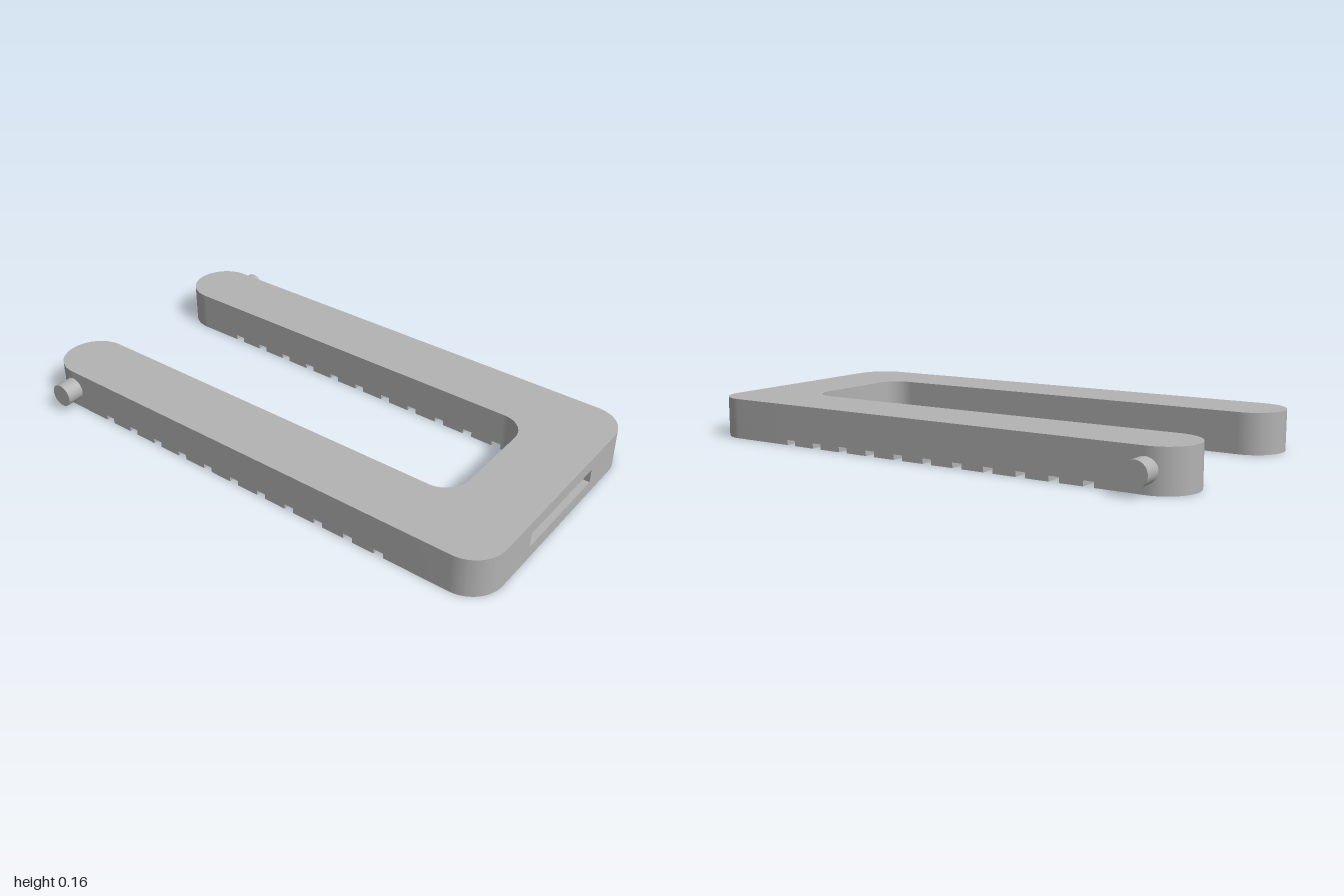
import * as THREE from 'three';
import { toCreasedNormals } from 'three/addons/utils/BufferGeometryUtils.js';

const HEIGHT = 0.155;
const OUTER = 0.51, INNER = 0.255; // leg sides
const R = (OUTER - INNER) / 2, MID = (OUTER + INNER) / 2; // rounded ends and corners
const JOIN = 0.62; // z where the legs meet the front bar
const SLOT_DEPTH = 0.04;

const extrude = (shape, depth) => toCreasedNormals(
  new THREE.ExtrudeGeometry(shape, { depth, bevelEnabled: false, curveSegments: 20 }), 0.5);

// Plan shapes use y = -z and are raised to the full height
const raise = (shape) => extrude(shape, HEIGHT).rotateX(-Math.PI / 2);

export function createModel() {
  const model = new THREE.Group();
  model.name = 'grooved fork';
  const grey = new THREE.MeshStandardMaterial({ color: 0xb3b3b3 });
  grey.name = 'grey';
  const add = (name, geometry, x = 0, y = 0, z = 0) => {
    const mesh = new THREE.Mesh(geometry, grey);
    mesh.name = name;
    mesh.position.set(x, y, z);
    model.add(mesh);
    return mesh;
  };

  // Front bar with rounded outer corners and filleted inner corners
  const bar = new THREE.Shape();
  bar.moveTo(-OUTER, -JOIN);
  bar.lineTo(-OUTER, -1 + R);
  bar.absarc(-MID, -1 + R, R, Math.PI, Math.PI * 1.5, false);
  bar.lineTo(-MID, -1 + SLOT_DEPTH);
  bar.lineTo(MID, -1 + SLOT_DEPTH);
  bar.lineTo(MID, -1);
  bar.absarc(MID, -1 + R, R, -Math.PI / 2, 0, false);
  bar.lineTo(OUTER, -JOIN);
  bar.lineTo(INNER, -JOIN);
  bar.absarc(INNER - 0.1, -JOIN, 0.1, 0, -Math.PI / 2, true);
  bar.absarc(-INNER + 0.1, -JOIN, 0.1, -Math.PI / 2, -Math.PI, true);
  add('frontBar', raise(bar));

  // Front plate with the slot cut through to the bar behind it
  const plate = new THREE.Shape([[-MID, 0], [MID, 0], [MID, HEIGHT], [-MID, HEIGHT]]
    .map(([x, y]) => new THREE.Vector2(x, y)));
  plate.holes.push(new THREE.Path([[-0.215, 0.05], [-0.215, 0.105], [0.215, 0.105], [0.215, 0.05]]
    .map(([x, y]) => new THREE.Vector2(x, y))));
  add('slottedFrontPlate', extrude(plate, SLOT_DEPTH), 0, 0, 1 - SLOT_DEPTH);

  // Leg side profile (x = -z) with eleven grooves underneath
  const profile = new THREE.Shape();
  profile.moveTo(-JOIN, 0);
  for (let i = 0; i < 11; i++) {
    const c = -0.598 + i * 0.1275;
    profile.lineTo(c - 0.019, 0);
    profile.lineTo(c - 0.019, 0.02);
    profile.lineTo(c + 0.019, 0.02);
    profile.lineTo(c + 0.019, 0);
  }
  profile.lineTo(1 - R, 0);
  profile.lineTo(1 - R, HEIGHT);
  profile.lineTo(-JOIN, HEIGHT);
  const leg = extrude(profile, R * 2).rotateY(Math.PI / 2).translate(-R, 0, 0);

  // Half-round leg end
  const round = new THREE.Shape();
  round.absarc(0, 1 - R, R, 0, Math.PI, false);
  const end = raise(round);

  // Side pin, sunk into the leg
  const pin = new THREE.CylinderGeometry(0.045, 0.045, 0.128, 32).rotateZ(Math.PI / 2);

  for (const [side, s] of [['left', 1], ['right', -1]]) {
    add(side + 'Leg', leg, s * MID);
    add(side + 'LegEnd', end, s * MID);
    add(side + 'Pin', pin, s * 0.514, HEIGHT / 2, -0.87);
  }
  return model;
}
